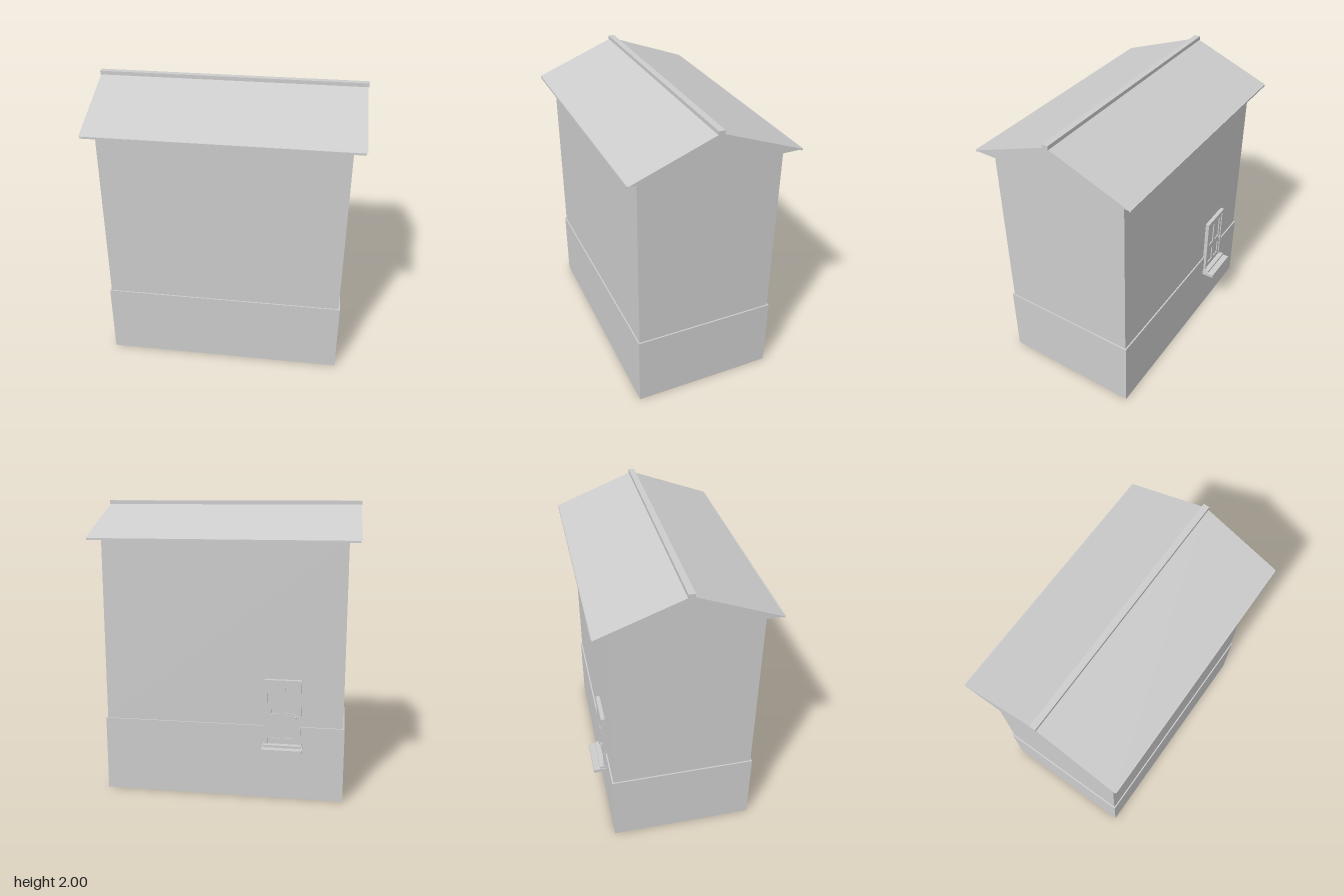
import * as THREE from 'three';

export function createModel() {
  const model = new THREE.Group();
  model.name = 'house';
  const grey = new THREE.MeshStandardMaterial({ color: 0xcccccc });
  grey.name = 'plain grey';

  const add = (name, geometry, parent = model) => {
    const mesh = new THREE.Mesh(geometry, grey);
    mesh.name = name;
    parent.add(mesh);
    return mesh;
  };
  // Box given by its minimum and maximum on each axis
  const box = (name, x0, x1, y0, y1, z0, z1, parent) => {
    const mesh = add(name, new THREE.BoxGeometry(x1 - x0, y1 - y0, z1 - z0), parent);
    mesh.position.set((x0 + x1) / 2, (y0 + y1) / 2, (z0 + z1) / 2);
    return mesh;
  };
  // Rectangular outline, wound either way as an extrude allows
  const rect = (Type, x0, x1, y0, y1) => {
    const path = new Type();
    path.moveTo(x0, y0).lineTo(x1, y0).lineTo(x1, y1).lineTo(x0, y1).closePath();
    return path;
  };
  // Flat panel with rectangular holes, lying between two depths
  const panel = (name, outline, holes, z0, z1, parent) => {
    const shape = rect(THREE.Shape, ...outline);
    holes.forEach((h) => shape.holes.push(rect(THREE.Path, ...h)));
    const geo = new THREE.ExtrudeGeometry(shape, { depth: z1 - z0, bevelEnabled: false });
    return add(name, geo.translate(0, 0, z0), parent);
  };

  // Walls and slightly wider plinth
  box('plinth', -0.823, 0.823, 0, 0.517, -0.485, 0.499);
  box('walls', -0.813, 0.813, 0.517, 1.766, -0.475, 0.49);

  // Gabled roof with closed ends and a flat soffit
  const gable = new THREE.Shape();
  gable.moveTo(-0.572, 1.766).lineTo(0.562, 1.766).lineTo(-0.004, 1.982).closePath();
  const roof = new THREE.ExtrudeGeometry(gable, { depth: 1.78, bevelEnabled: false });
  add('roof', roof.translate(0, 0, -0.89).rotateY(Math.PI / 2));
  box('ridgeCap', -0.895, 0.895, 1.972, 2, -0.018, 0.024);

  // Thin strips under the eaves
  for (const [name, z] of [['frontEaveStrip', 0.57], ['backEaveStrip', -0.56]]) {
    box(name, -0.882, 0.882, 1.754, 1.767, z - 0.006, z + 0.006);
  }

  // Back door
  const door = new THREE.Group();
  door.name = 'door';
  model.add(door);
  panel('doorFrame', [-0.533, -0.287, 0.39, 0.842], [[-0.511, -0.309, 0.392, 0.82]], -0.502, -0.47, door);
  box('doorBacking', -0.511, -0.309, 0.39, 0.82, -0.487, -0.47, door);
  const holes = [];
  for (const [y0, y1] of [[0.435, 0.555], [0.61, 0.785]]) {
    holes.push([-0.487, -0.424, y0, y1], [-0.396, -0.333, y0, y1]);
  }
  panel('doorLeaf', [-0.511, -0.309, 0.394, 0.82], holes, -0.495, -0.486, door);

  // Door handle
  box('handlePlate', -0.506, -0.493, 0.572, 0.608, -0.5, -0.494, door);
  const knob = add('doorKnob', new THREE.SphereGeometry(0.008, 12, 8), door);
  knob.position.set(-0.4995, 0.59, -0.502);

  // Doorstep in two levels
  box('upperStep', -0.538, -0.282, 0.379, 0.397, -0.53, -0.47, door);
  box('lowerStep', -0.545, -0.275, 0.354, 0.38, -0.575, -0.47, door);

  return model;
}
